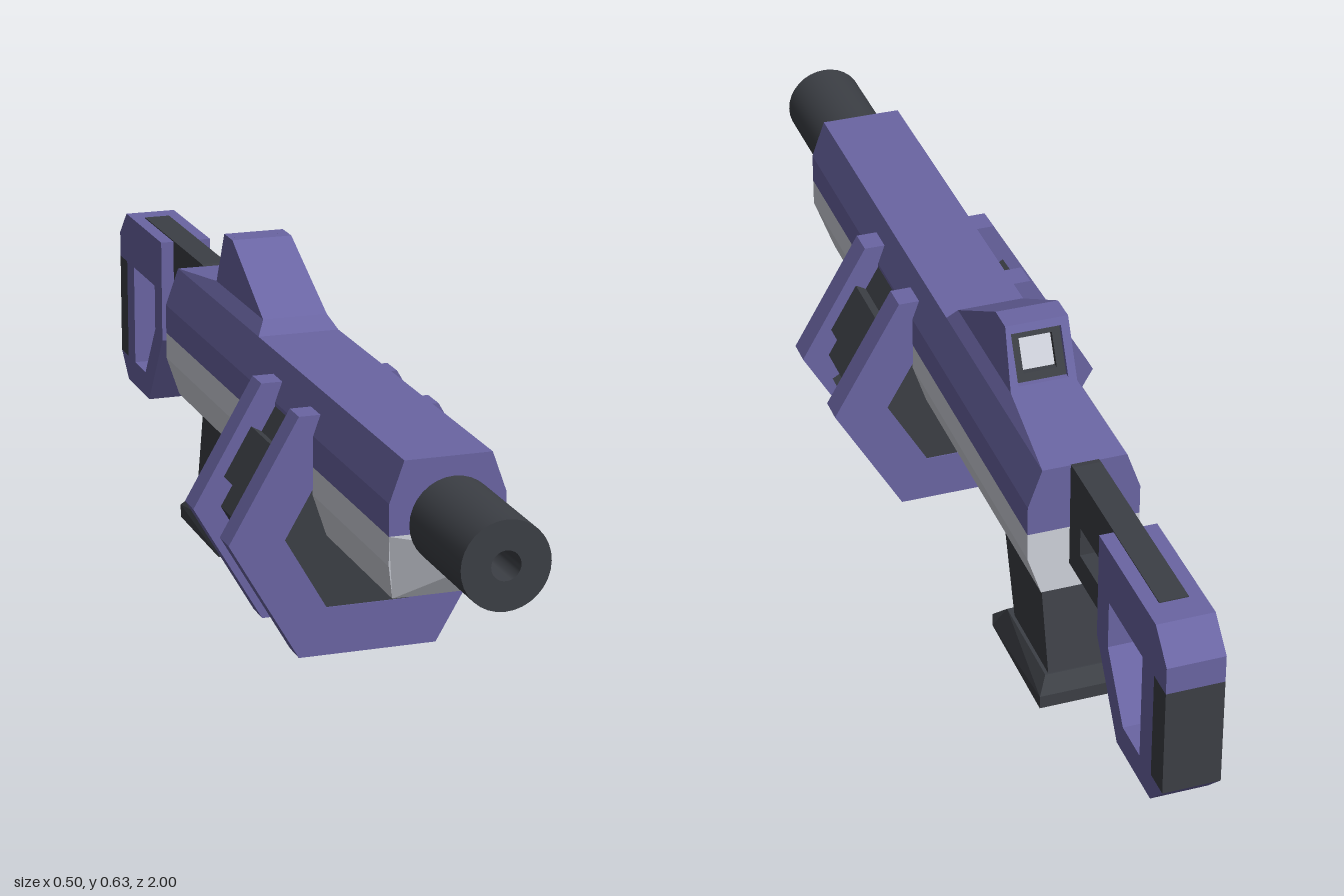
import * as THREE from 'three';
import { toCreasedNormals } from 'three/addons/utils/BufferGeometryUtils.js';

const paint = (color) => new THREE.MeshStandardMaterial({ color, flatShading: true });

function shapeOf(points, hole) {
  const shape = new THREE.Shape(points.map(([a, b]) => new THREE.Vector2(a, b)));
  if (hole) shape.holes.push(new THREE.Path(hole.map(([a, b]) => new THREE.Vector2(a, b))));
  return shape;
}

// Extrude an x-y outline from z0 to z1
function along(points, z0, z1, hole) {
  const g = new THREE.ExtrudeGeometry(shapeOf(points, hole), { depth: z1 - z0, bevelEnabled: false });
  return g.translate(0, 0, z0);
}

// Extrude a z-y side profile across the width, centred on x = 0
function profile(points, width, hole) {
  return along(points, -width / 2, width / 2, hole).rotateY(-Math.PI / 2);
}

// Move every vertex by a rule
function reshape(g, rule) {
  const p = g.attributes.position;
  const v = new THREE.Vector3();
  for (let i = 0; i < p.count; i++) {
    rule(v.fromBufferAttribute(p, i));
    p.setXYZ(i, v.x, v.y, v.z);
  }
  g.computeVertexNormals();
  return g;
}

const hexagon = (r, cy) => Array.from({ length: 6 }, (_, i) => {
  const a = i * Math.PI / 3;
  return [r * Math.cos(a), cy + r * Math.sin(a)];
});
const rect = (x, y0, y1) => [[-x, y0], [x, y0], [x, y1], [-x, y1]];

export function createModel() {
  const model = new THREE.Group();
  const purple = paint(0x6a65a3);
  const dark = paint(0x3c3f45);
  const light = paint(0xd0d3dc);
  const add = (name, geometry, material, parent = model) => {
    const mesh = new THREE.Mesh(geometry, material);
    mesh.name = name;
    parent.add(mesh);
    return mesh;
  };
  const group = (name) => {
    const g = new THREE.Group();
    g.name = name;
    model.add(g);
    return g;
  };

  // Body: coloured upper shell and pale lower shell with a raked nose
  add('upperBody', along([[-0.1, 0.375], [0.1, 0.375], [0.1, 0.43], [0.075, 0.5],
    [-0.075, 0.5], [-0.1, 0.43]], -0.5, 0.75), purple);
  add('lowerBody', reshape(along([[-0.075, 0.25], [0.075, 0.25], [0.1, 0.325], [0.1, 0.375],
    [-0.1, 0.375], [-0.1, 0.325]], -0.5, 0.75), (v) => {
    if (v.z > 0 && v.y < 0.3) v.z = 0.7;
  }), light);

  // Barrel with neck and bore
  const barrelProfile = [[0, 0.74], [0.05, 0.74], [0.05, 0.775], [0.075, 0.775], [0.075, 1],
    [0.025, 1], [0.025, 0.9], [0, 0.9]].map(([r, h]) => new THREE.Vector2(r, h));
  const barrel = new THREE.LatheGeometry(barrelProfile, 32).rotateX(Math.PI / 2).translate(0, 0.4, 0);
  const smoothDark = new THREE.MeshStandardMaterial({ color: 0x3c3f45 });
  add('barrel', toCreasedNormals(barrel, 0.6), smoothDark);

  // Hexagonal drum: ribbed core between two plates
  const drum = group('drum');
  add('drumCore', along(hexagon(0.2, 0.25), 0.16, 0.335), dark, drum);
  for (let i = 0; i < 6; i++) {
    const a = i * Math.PI / 3;
    const rib = new THREE.BoxGeometry(0.1, 0.06, 0.17);
    rib.translate(0, 0.165, 0).rotateZ(a).translate(0, 0.25, 0.2475);
    add('drumRib', rib, dark, drum);
  }
  for (const z of [0.12, 0.325]) {
    add('drumPlate', along(hexagon(0.25, 0.25), z, z + 0.05, hexagon(0.15, 0.25)), purple, drum);
    add('drumPlateCentre', along(hexagon(0.15, 0.25), z + 0.002, z + 0.048), dark, drum);
  }

  // Sight: tapered base, sloping hood and a raked rear frame around a screen
  const sight = group('sight');
  add('sightBase', reshape(profile([[0, 0.5], [-0.5, 0.5], [-0.3, 0.525], [-0.02, 0.525]], 0.15), (v) => {
    v.x = Math.sign(v.x) * (0.075 - 0.6 * (v.y - 0.5));
  }), purple, sight);
  const taper = (v) => {
    if (v.x > 0.05) v.x = 0.06 - 0.07 * (v.y - 0.525);
  };
  add('sightHood', reshape(profile([[-0.02, 0.525], [-0.27, 0.525], [-0.22, 0.627], [-0.2, 0.627]], 0.12),
    taper), purple, sight);
  const rake = (v) => {
    v.z += (v.y - 0.525) * 0.49;
  };
  const opening = rect(0.045, 0.533, 0.614);
  add('sightFrame', reshape(along([[-0.06, 0.525], [0.06, 0.525], [0.053, 0.627], [-0.06, 0.627]],
    -0.3, -0.27, opening), rake), purple, sight);
  const inner = rect(0.03, 0.546, 0.601);
  add('screenSurround', reshape(along(opening, -0.29, -0.27, inner), rake), dark, sight);
  add('screen', reshape(along(inner, -0.279, -0.269), rake), light, sight);

  // Grip and flared foot
  const grip = group('grip');
  add('gripHandle', profile([[-0.225, 0.26], [-0.3, 0.04], [-0.475, 0.04], [-0.42, 0.26]], 0.1), dark, grip);
  add('gripFoot', reshape(profile([[-0.25, 0], [-0.25, 0.025], [-0.275, 0.05], [-0.475, 0.05],
    [-0.5, 0.025], [-0.5, 0]], 0.15), (v) => {
    if (v.y > 0.04) v.x *= 0.75;
  }), dark, grip);

  // Trigger and its guard
  const trigger = group('triggerGroup');
  add('triggerGuard', profile([[-0.1, 0.255], [-0.1, 0.185], [-0.135, 0.15], [-0.275, 0.15], [-0.27, 0.17],
    [-0.145, 0.17], [-0.12, 0.195], [-0.12, 0.255]], 0.05), dark, trigger);
  add('trigger', profile([[-0.18, 0.255], [-0.235, 0.255], [-0.2, 0.225], [-0.16, 0.2]], 0.03), dark, trigger);

  // Stock: dark two-rail strut, open shoulder frame and butt pad
  const stock = group('stock');
  add('stockStrut', profile([[-0.49, 0.499], [-0.49, 0.3], [-0.72, 0.3], [-0.72, 0.35], [-0.55, 0.35],
    [-0.55, 0.405], [-0.9, 0.405], [-0.9, 0.502], [-0.51, 0.502]], 0.05), dark, stock);
  add('shoulderFrame', profile([[-0.7, 0.5], [-0.95, 0.5], [-1, 0.45], [-1, 0.4], [-0.95, 0.4], [-0.95, 0.2],
    [-1, 0.2], [-0.95, 0.15], [-0.8, 0.15], [-0.7, 0.3]], 0.1,
  [[-0.75, 0.4], [-0.9, 0.4], [-0.9, 0.2], [-0.825, 0.2], [-0.75, 0.31]]), purple, stock);
  add('buttPad', profile([[-0.95, 0.4], [-1, 0.4], [-1, 0.2], [-0.95, 0.2]], 0.1), dark, stock);

  return model;
}
